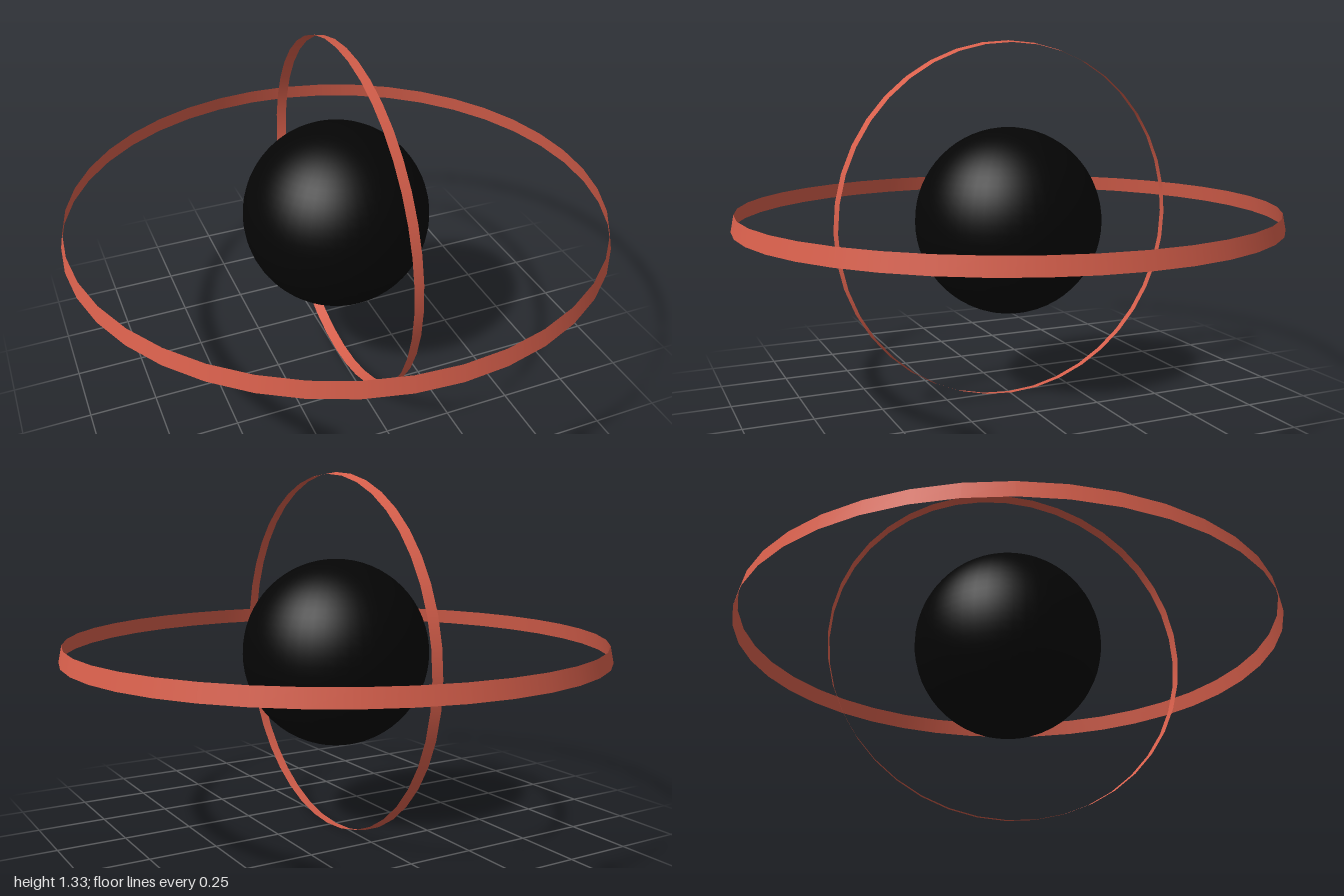
import * as THREE from 'three';

const CENTER_Y = 0.666;

// Thin open band, slightly tapered, standing on its wide edge at y = 0
function band(name, bottomRadius, topRadius, width, material) {
  const geometry = new THREE.CylinderGeometry(topRadius, bottomRadius, width, 40, 1, true);
  geometry.translate(0, width / 2, 0);
  const mesh = new THREE.Mesh(geometry, material);
  mesh.name = name;
  mesh.position.y = CENTER_Y;
  return mesh;
}

export function createModel() {
  const group = new THREE.Group();
  group.name = 'ringedSphere';

  const black = new THREE.MeshStandardMaterial({ color: 0x050505 });
  const red = new THREE.MeshStandardMaterial({ color: 0xd9604c, side: THREE.DoubleSide });

  // Dark central ball
  const core = new THREE.Mesh(new THREE.SphereGeometry(0.347, 48, 32), black);
  core.name = 'coreSphere';
  core.position.y = CENTER_Y + 0.001;
  group.add(core);

  // Wide level ring
  group.add(band('horizontalRing', 1, 0.988, 0.06, red));

  // Smaller upright ring, its narrow edge towards +x
  const upright = band('verticalRing', 0.663, 0.656, 0.038, red);
  upright.rotation.z = -Math.PI / 2;
  group.add(upright);

  return group;
}
